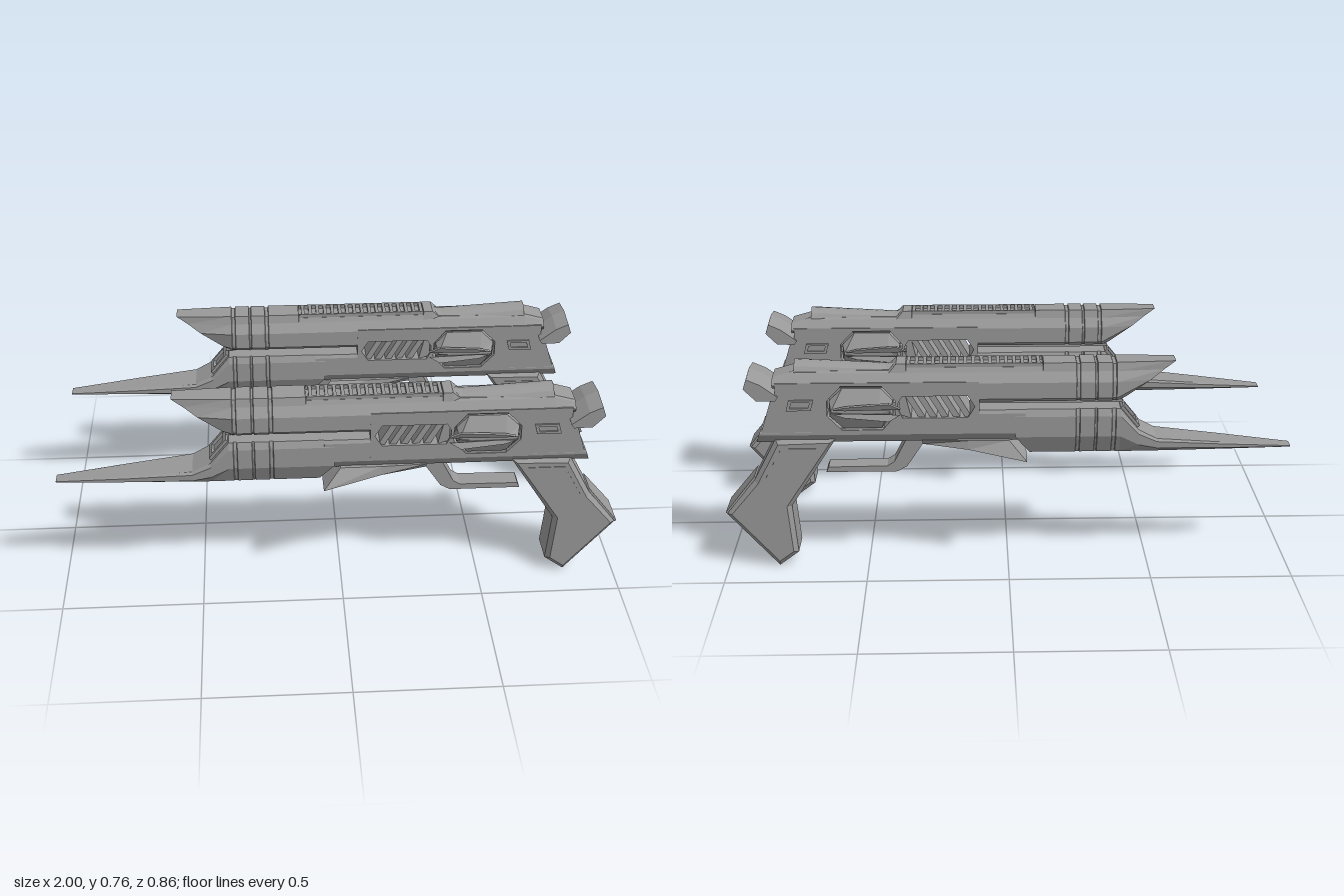
import * as THREE from 'three';

const grey = new THREE.MeshStandardMaterial({ color: 0x999999 });
grey.name = 'gunmetal grey';

// Flat-shaded skin through rings of [x, y, z] points, closed at both ends
function loft(rings) {
  const n = rings[0].length, pos = [];
  const tri = (a, b, c) => pos.push(...a, ...b, ...c);
  for (let r = 0; r < rings.length - 1; r++) {
    for (let i = 0; i < n; i++) {
      const j = (i + 1) % n, A = rings[r], B = rings[r + 1];
      tri(A[i], A[j], B[j]);
      tri(A[i], B[j], B[i]);
    }
  }
  const cap = (ring, flip) => {
    const c = [0, 1, 2].map(k => ring.reduce((s, p) => s + p[k], 0) / n);
    for (let i = 0; i < n; i++) {
      const a = ring[i], b = ring[(i + 1) % n];
      flip ? tri(c, b, a) : tri(c, a, b);
    }
  };
  cap(rings[0], true);
  cap(rings[rings.length - 1], false);
  // turn the faces outward if the rings ran the other way
  let volume = 0;
  const v = i => new THREE.Vector3().fromArray(pos, i);
  for (let i = 0; i < pos.length; i += 9) volume += v(i).dot(v(i + 3).cross(v(i + 6)));
  if (volume < 0) {
    for (let i = 0; i < pos.length; i += 9) {
      for (let k = 0; k < 3; k++) [pos[i + 3 + k], pos[i + 6 + k]] = [pos[i + 6 + k], pos[i + 3 + k]];
    }
  }
  const g = new THREE.BufferGeometry();
  g.setAttribute('position', new THREE.Float32BufferAttribute(pos, 3));
  g.computeVertexNormals();
  return g;
}

// Mirrored cross-section from half points [z, y]; x may depend on y
function section(x, half) {
  const at = y => (typeof x === 'function' ? x(y) : x);
  return [...half.map(([z, y]) => [at(y), y, z]), ...half.slice().reverse().map(([z, y]) => [at(y), y, -z])];
}

const path = pts => pts.map(p => new THREE.Vector2(p[0], p[1]));

// Side outline extruded across z, with optional chamfer and holes
function prism(outline, halfWidth, chamfer = 0, holes = []) {
  const shape = new THREE.Shape(path(outline));
  holes.forEach(h => shape.holes.push(new THREE.Path(path(h))));
  const depth = 2 * (halfWidth - chamfer);
  const g = new THREE.ExtrudeGeometry(shape, {
    depth, bevelEnabled: chamfer > 0, bevelThickness: chamfer, bevelSize: chamfer, bevelOffset: -chamfer, bevelSegments: 1,
  });
  return g.translate(0, 0, -depth / 2);
}

const box = (x, y, z, w, h, d) => new THREE.BoxGeometry(w, h, d).translate(x, y, z);

function createPistol() {
  const gun = new THREE.Group();
  const add = (name, geometry) => {
    const m = new THREE.Mesh(geometry, grey);
    m.name = name;
    gun.add(m);
    return m;
  };

  // Upper barrel: slanted muzzle, band grooves, lowered top under the vent ribs
  const upper = (x, bottom, top, k = 1) => section(x, [
    [0.062 * k, bottom], [0.072 * k, bottom + 0.012], [0.072 * k, 0.695], [0.05 * k, Math.min(0.728, top - 0.004)], [0.042 * k, top],
  ]);
  const grooved = (make, stops) => stops.flatMap(([a, b]) => [make(a, 1), make(a + 0.002, 0.92), make(b - 0.002, 0.92), make(b, 1)]);
  const bands = [[-0.375, -0.36], [-0.31, -0.3], [-0.25, -0.235]];
  add('upperBarrel', loft([
    upper(y => -0.58 + (0.757 - y) * 1.42, 0.625, 0.757, 0.72),
    ...grooved((x, k) => upper(x, 0.625, k < 1 ? 0.752 : 0.757, k), bands),
    upper(-0.122, 0.625, 0.757), upper(-0.12, 0.625, 0.744), upper(0.1, 0.625, 0.744),
  ]));
  add('topCover', loft([
    upper(0.1, 0.68, 0.744), upper(0.35, 0.68, 0.744), upper(0.352, 0.68, 0.757),
    upper(0.385, 0.68, 0.757), upper(0.41, 0.68, 0.735), upper(0.74, 0.68, 0.735), upper(0.81, 0.68, 0.715),
  ]));

  // Ladder of ribs along the top
  for (let i = 0; i < 17; i++) add('topVentRib', box(-0.105 + i * 0.028, 0.75, 0, 0.012, 0.014, 0.07));
  for (const s of [-1, 1]) add('topVentRail', box(0.115, 0.75, s * 0.037, 0.47, 0.014, 0.008));

  // Rounded cover over the rear half of the top
  const dome = (x, top, r) => section(x, [0, 1, 2, 3, 4].map(i => {
    const a = (i / 4) * Math.PI / 2;
    return [r * Math.cos(a), 0.715 + (top - 0.715) * Math.sin(a)];
  }));
  add('rearDome', loft([dome(0.37, 0.752, 0.046), dome(0.42, 0.745, 0.048), dome(0.735, 0.765, 0.05)]));

  // Lower barrel running forward into a long blade
  const lower = (x, bottom, top, w) => section(x, [
    [w * 0.6, bottom], [w, bottom + (top - bottom) * 0.4], [w, top - (top - bottom) * 0.15], [w * 0.85, top],
  ]);
  add('blade', loft([
    lower(-1, 0.426, 0.434, 0.022), lower(-0.75, 0.427, 0.458, 0.05),
    lower(-0.52, 0.428, 0.48, 0.07), lower(-0.455, 0.428, 0.515, 0.073), lower(-0.39, 0.428, 0.595, 0.073),
    ...grooved((x, k) => lower(x, 0.428, 0.595, 0.073 * k), bands),
    lower(y => -0.075 + Math.max(0, Math.min(0.05, y - 0.428)), 0.428, 0.595, 0.073),
  ]));
  const keel = (x, top) => section(x, [[0.05, 0.477], [0.072, 0.51], [0.072, top - 0.012], [0.065, top]]);
  add('lowerBarrel', loft([keel(-0.06, 0.595), keel(0.1, 0.595)]));
  add('lowerFrame', loft([keel(0.1, 0.535), keel(0.868, 0.53)].map((r, i) => (i ? r.map(([x, y, z]) => [x - (y - 0.5) * 0.35, y, z]) : r))));

  // Framed opening on the sloping face of the lower barrel
  const frame = prism(
    [[-0.045, -0.048], [0.045, -0.048], [0.045, 0.048], [-0.045, 0.048]], 0.008, 0,
    [[[-0.03, -0.032], [0.03, -0.032], [0.03, 0.032], [-0.03, 0.032]]],
  );
  frame.rotateY(-Math.PI / 2).rotateZ(-0.68).translate(-0.424, 0.556, 0);
  add('lowerMuzzleFrame', frame);

  // Thin rod in the slot between the barrels
  add('slotRod', box(-0.14, 0.61, 0, 0.52, 0.01, 0.05));

  // Receiver with vent and pod cut-outs
  const octagon = g => [
    [0.39 + g, 0.58], [0.435 + g / 2, 0.527 + g], [0.575 - g / 2, 0.527 + g], [0.625 - g, 0.58],
    [0.625 - g, 0.635], [0.575 - g / 2, 0.688 - g], [0.435 + g / 2, 0.688 - g], [0.39 + g, 0.635],
  ];
  add('receiver', prism(
    [[0.1, 0.52], [0.855, 0.52], [0.82, 0.63], [0.8, 0.655], [0.8, 0.7], [0.1, 0.7]], 0.0725, 0,
    [[[0.115, 0.61], [0.14, 0.57], [0.365, 0.57], [0.38, 0.6], [0.38, 0.625], [0.365, 0.65], [0.14, 0.65]], octagon(0)],
  ));
  for (let i = 0; i < 5; i++) {
    const x = 0.125 + i * 0.04;
    add('ventBar', prism([[x, 0.567], [x + 0.024, 0.567], [x + 0.074, 0.653], [x + 0.05, 0.653]], 0.062));
  }
  add('ventBlock', prism([[0.335, 0.567], [0.376, 0.58], [0.376, 0.64], [0.355, 0.653]], 0.064));

  // Side pod, ridged outward on both sides
  const podRing = (z, sx, sy) => octagon(0.008).map(([x, y]) => [0.5075 + (x - 0.5075) * sx, 0.607 + (y - 0.607) * sy, z]);
  add('sidePod', loft([podRing(-0.103, 0.92, 0.08), podRing(-0.07, 1, 1), podRing(0.07, 1, 1), podRing(0.103, 0.92, 0.08)]));
  add('podLink', box(0.508, 0.607, 0, 0.25, 0.02, 0.08));
  for (const s of [-1, 1]) {
    for (const t of [-1, 1]) {
      // tapered slats fanning out from the rear of the pod
      const slat = prism([[0.37, 0.012], [0.41, 0.036], [0.56, 0.022], [0.6, 0.01], [0.56, 0.007]].map(([x, y]) => [x, y * t]), 0.004);
      slat.rotateX(s * t * 0.4).translate(0, 0.607, s * 0.103);
      add('podSlat', slat);
    }
    // small slanted window frame behind the pod
    const w = prism(
      [[0.67, 0.64], [0.68, 0.602], [0.765, 0.602], [0.755, 0.64]], 0.004, 0,
      [[[0.683, 0.632], [0.689, 0.611], [0.752, 0.611], [0.745, 0.632]]],
    );
    add('sideWindowFrame', w.translate(0, 0, s * 0.075));
  }

  // Swept fins under the lower barrel
  const finFront = y => -0.065 + (y - 0.42);
  add('fins', loft([
    section(finFront, [[0.04, 0.42], [0.12, 0.421], [0.068, 0.482]]),
    section(0.14, [[0.04, 0.443], [0.073, 0.45], [0.068, 0.482]]),
    section(0.3, [[0.035, 0.46], [0.05, 0.465], [0.06, 0.482]]),
  ]));

  // Open trigger guard
  add('triggerGuard', prism([
    [0.285, 0.48], [0.355, 0.375], [0.39, 0.355], [0.64, 0.355], [0.632, 0.374], [0.425, 0.376], [0.4, 0.392], [0.355, 0.48],
  ], 0.035));

  // Grip with flared foot and back panel
  add('grip', prism([
    [0.6, 0.49], [0.765, 0.235], [0.75, 0.055], [0.82, 0.003], [0.998, 0.21], [0.892, 0.335], [0.81, 0.49],
  ], 0.0715, 0.016));
  add('gripBackPanel', loft([
    [[0.885, 0.343, -0.05], [0.885, 0.343, 0.05], [0.993, 0.213, 0.066], [0.993, 0.213, -0.066]],
    [[0.892, 0.347, -0.05], [0.892, 0.347, 0.05], [0.999, 0.216, 0.066], [0.999, 0.216, -0.066]],
  ]));
  for (const s of [-1, 1]) {
    add('gripSidePanel', prism([[0.66, 0.46], [0.785, 0.26], [0.86, 0.33], [0.79, 0.46]], 0.003).translate(0, 0, s * 0.071));
  }

  // Hammer block, set slightly to one side, with a peaked top
  const hammerRing = (z, drop) => [[0.79, 0.665], [0.85, 0.71], [0.895, 0.73], [0.907, 0.695], [0.865, 0.652], [0.8, 0.65]]
    .map(([x, y]) => [x, y - drop, z]);
  add('hammer', loft([hammerRing(-0.079, 0.012), hammerRing(0.013, 0), hammerRing(0.106, 0.012)]));
  return gun;
}

export function createModel() {
  const model = new THREE.Group();
  for (const s of [-1, 1]) {
    const gun = createPistol();
    gun.name = s > 0 ? 'frontPistol' : 'backPistol';
    gun.position.z = s * 0.3075;
    model.add(gun);
  }
  return model;
}
